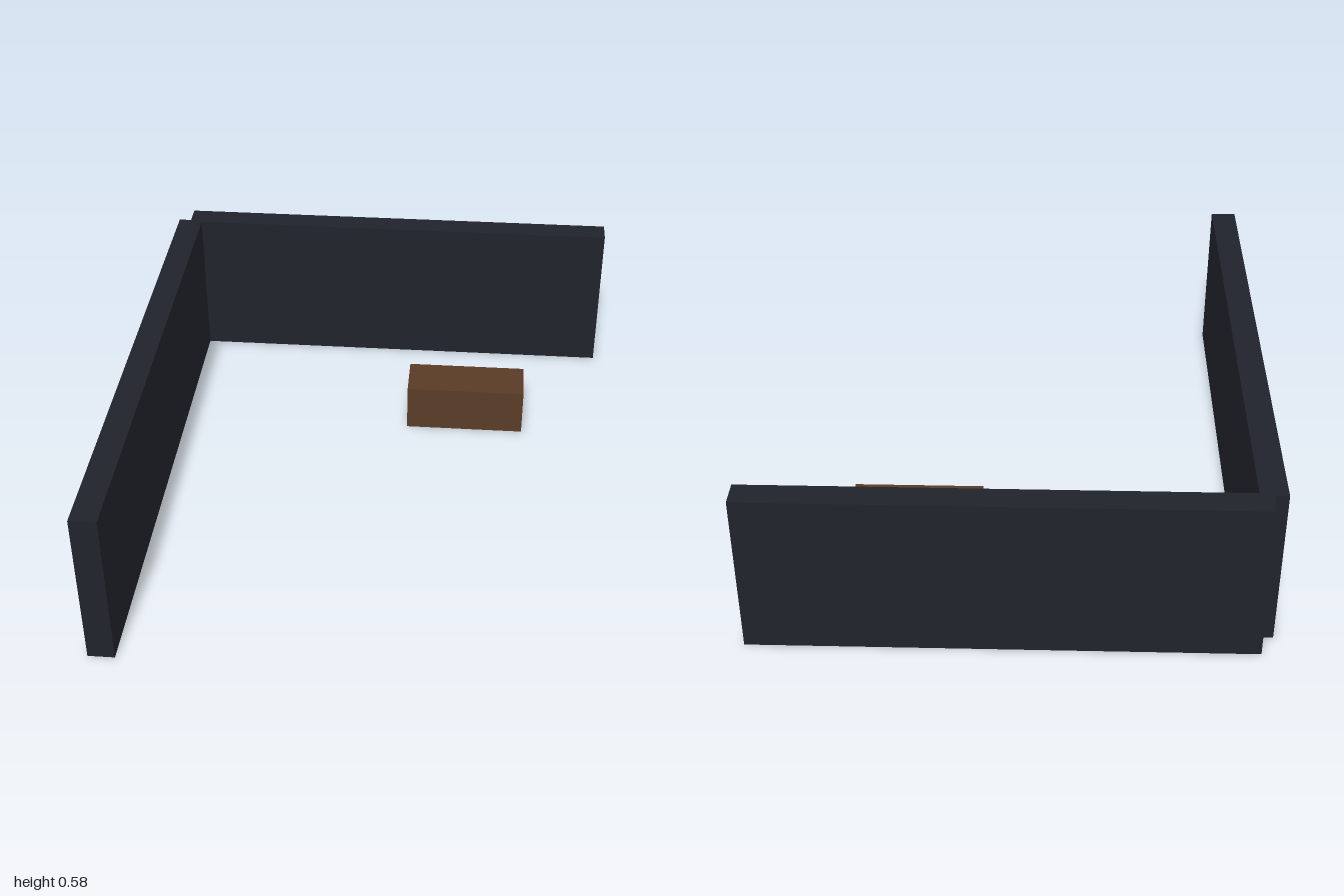
import * as THREE from 'three';

export function createModel() {
  const model = new THREE.Group();
  const wallMaterial = new THREE.MeshStandardMaterial({ color: 0x20232b });
  const woodMaterial = new THREE.MeshStandardMaterial({ color: 0x5a3b26 });

  // Box standing on the ground, given by its extents in x and z
  function addBlock(name, [x0, x1], [z0, z1], height, material) {
    const mesh = new THREE.Mesh(new THREE.BoxGeometry(x1 - x0, height, z1 - z0), material);
    mesh.position.set((x0 + x1) / 2, height / 2, (z0 + z1) / 2);
    mesh.name = name;
    model.add(mesh);
  }

  // Two walls meeting at a stepped corner
  const wallHeight = 0.577;
  addBlock('sideWall', [-0.86, -0.768], [-0.92, 1], wallHeight, wallMaterial);
  addBlock('backWall', [-0.814, 0.86], [-1, -0.908], wallHeight, wallMaterial);

  // Free-standing wooden block in front of the back wall
  addBlock('woodenBlock', [0.11, 0.56], [-0.535, -0.36], 0.18, woodMaterial);

  return model;
}
